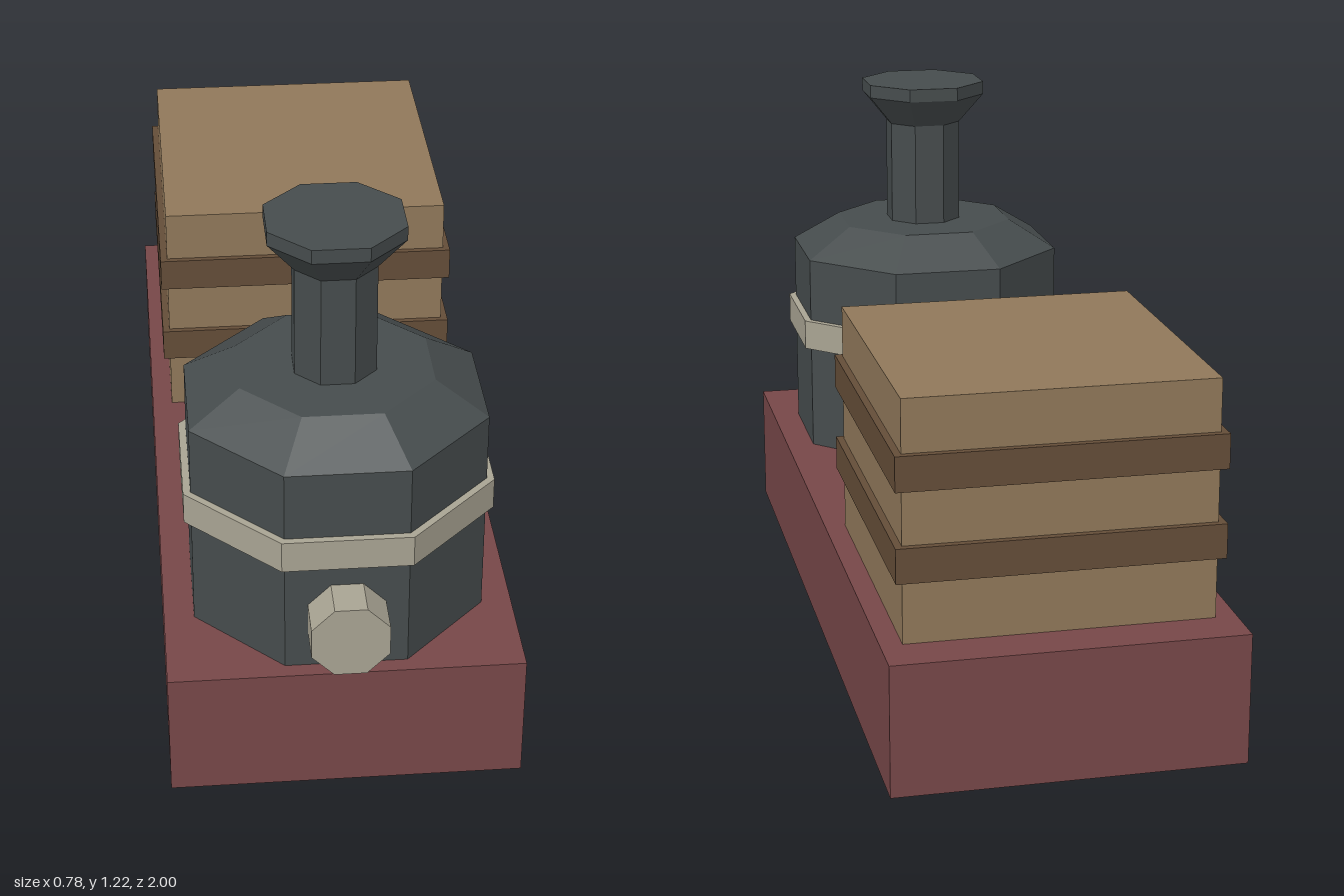
import * as THREE from 'three';

const material = (name, color) => {
  const m = new THREE.MeshStandardMaterial({ color, flatShading: true });
  m.name = name;
  return m;
};

export function createModel() {
  const group = new THREE.Group();
  const red = material('dull red', 0x774748);
  const iron = material('dark iron', 0x464c4d);
  const metal = material('pale metal', 0xa9a493);
  const wood = material('wood', 0x90785a);
  const darkWood = material('dark wood', 0x644d38);

  const add = (name, geometry, mat, x, y, z) => {
    const mesh = new THREE.Mesh(geometry, mat);
    mesh.name = name;
    mesh.position.set(x, y, z);
    group.add(mesh);
    return mesh;
  };

  // Box given by its width, bottom and top, back and front
  const box = (name, mat, w, y0, y1, z0, z1) =>
    add(name, new THREE.BoxGeometry(w, y1 - y0, z1 - z0), mat, 0, (y0 + y1) / 2, (z0 + z1) / 2);

  // Eight-sided prism, flat side forward; radii measured to the flats
  const octagon = (rTop, rBottom, h) => {
    const k = 1 / Math.cos(Math.PI / 8);
    return new THREE.CylinderGeometry(rTop * k, rBottom * k, h, 8).rotateY(Math.PI / 8);
  };
  const boilerZ = 0.587;
  const tier = (name, mat, rTop, rBottom, y0, y1) =>
    add(name, octagon(rTop, rBottom, y1 - y0), mat, 0, (y0 + y1) / 2, boilerZ);

  // Chassis
  box('base', red, 0.778, 0, 0.297, -1, 0.945);

  // Boiler and chimney
  tier('boiler', iron, 0.322, 0.322, 0.297, 0.79);
  tier('boilerShoulder', iron, 0.21, 0.322, 0.79, 0.862);
  tier('boilerBand', metal, 0.338, 0.338, 0.56, 0.633);
  tier('chimney', iron, 0.089, 0.089, 0.862, 1.117);
  tier('chimneyFlare', iron, 0.147, 0.089, 1.117, 1.19);
  tier('chimneyRim', iron, 0.147, 0.147, 1.19, 1.222);

  // Front lamp
  add('lamp', octagon(0.084, 0.084, 0.12).rotateX(Math.PI / 2), metal, 0, 0.423, 0.94);

  // Cargo crate with two straps
  box('crate', wood, 0.682, 0.297, 0.833, -0.895, -0.167);
  for (const y of [0.437, 0.637]) box('crateStrap', darkWood, 0.714, y, y + 0.078, -0.911, -0.153);

  return group;
}
